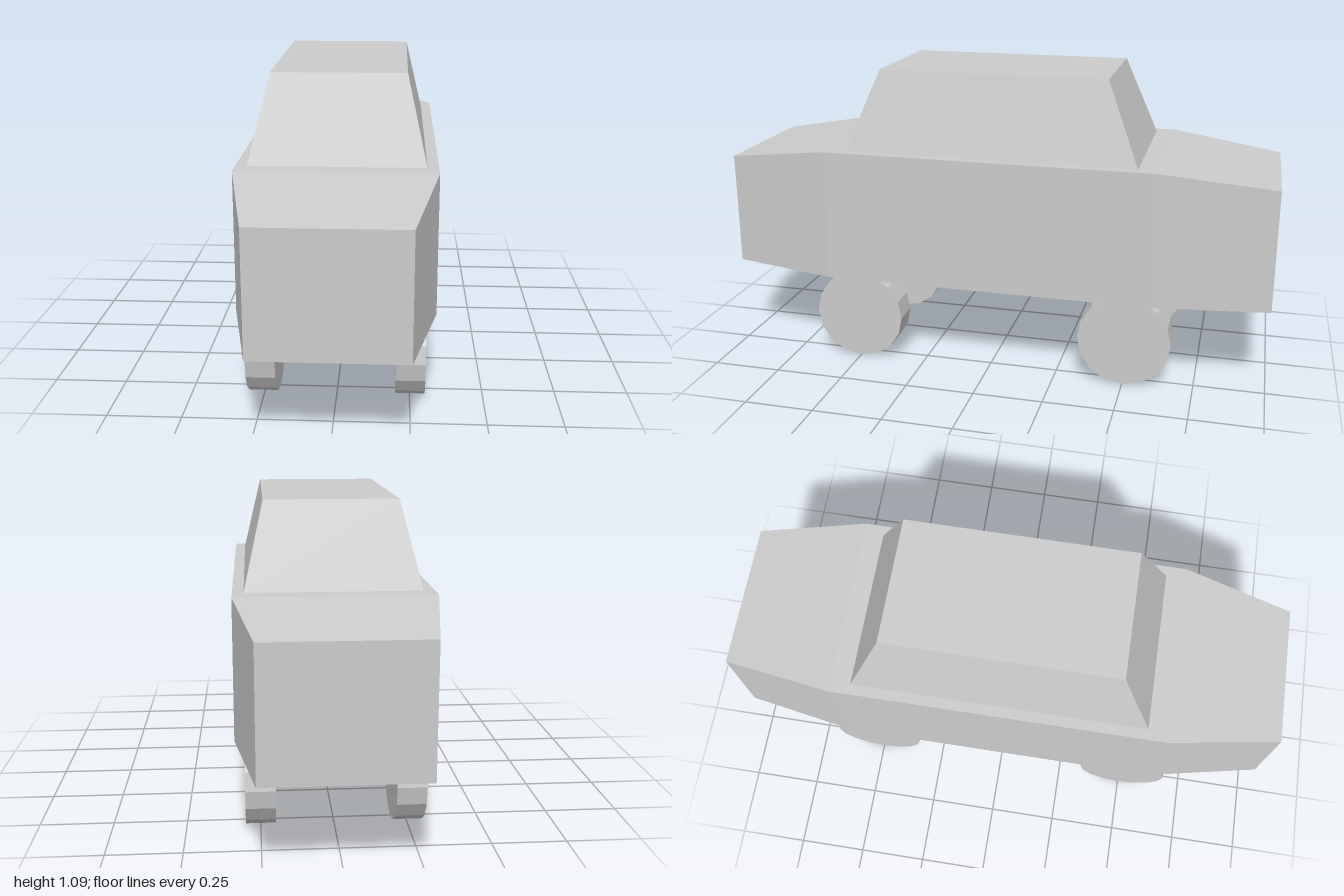
import * as THREE from 'three';

const material = new THREE.MeshStandardMaterial({ color: 0xcccccc, flatShading: true });

function addMesh(parent, name, geometry) {
  const mesh = new THREE.Mesh(geometry, material);
  mesh.name = name;
  parent.add(mesh);
  return mesh;
}

// Moves every vertex of a geometry by a rule, then rebuilds flat normals.
function reshape(geometry, rule) {
  const flat = geometry.toNonIndexed();
  const pos = flat.attributes.position;
  const v = new THREE.Vector3();
  for (let i = 0; i < pos.count; i++) {
    rule(v.fromBufferAttribute(pos, i));
    pos.setXYZ(i, v.x, v.y, v.z);
  }
  flat.computeVertexNormals();
  return flat;
}

// Body cross-sections from back to front
const sections = [
  { z: -1, half: 0.265, bottom: 0.315, top: 0.75 },
  { z: -0.6, half: 0.333, bottom: 0.32, top: 0.8 },
  { z: 0.6, half: 0.333, bottom: 0.32, top: 0.8 },
  { z: 1, half: 0.25, bottom: 0.325, top: 0.74 },
];

function bodyGeometry() {
  return reshape(new THREE.BoxGeometry(2, 2, 3, 1, 1, 3), (v) => {
    const s = sections[Math.round(v.z + 1.5)];
    v.set(v.x * s.half, v.y > 0 ? s.top : s.bottom, s.z);
  });
}

// Cabin tapering towards the roof
function cabinGeometry() {
  return reshape(new THREE.BoxGeometry(2, 2, 2), (v) => {
    if (v.y > 0) v.set(v.x * 0.228, 1.09, v.z * 0.41);
    else v.set(v.x * 0.295, 0.8, v.z * 0.528);
  });
}

export function createModel() {
  const car = new THREE.Group();
  car.name = 'car';
  addMesh(car, 'body', bodyGeometry());
  addMesh(car, 'cabin', cabinGeometry());

  // Wheel pairs joined by thin axles
  const radius = 0.167;
  const wheel = new THREE.CylinderGeometry(radius, radius, 0.1, 16).rotateZ(Math.PI / 2);
  const axle = new THREE.CylinderGeometry(0.033, 0.033, 0.4, 8).rotateZ(Math.PI / 2);
  for (const [end, z] of [['front', 0.5], ['back', -0.5]]) {
    const pair = new THREE.Group();
    pair.name = end + 'Wheels';
    pair.position.set(0, radius, z);
    addMesh(pair, end + 'Axle', axle);
    addMesh(pair, end + 'LeftWheel', wheel).position.x = 0.25;
    addMesh(pair, end + 'RightWheel', wheel).position.x = -0.25;
    car.add(pair);
  }
  return car;
}
